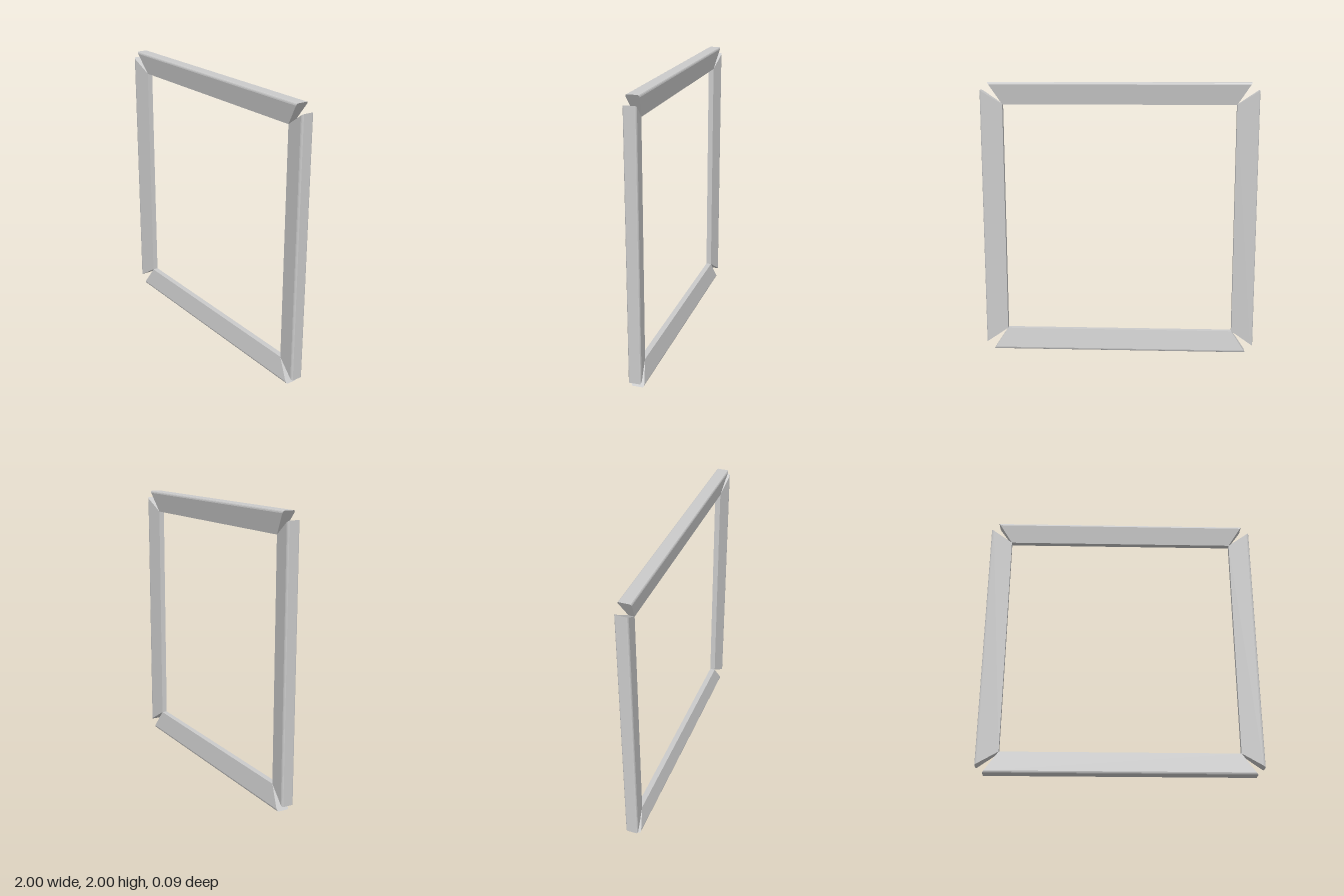
import * as THREE from 'three';

const INNER = 0.842;      // distance from frame centre to the inner edge
const OUTER = 1;          // distance from frame centre to the outer edge
const OUTER_HALF = 0.945; // half length of a rail along its outer edge

// One rail: a tapered bar, thick outside and thin inside, with slanted ends
function railGeometry() {
  const half = [[0.02, INNER], [0.045, 0.984], [0.0435, 0.992], [0.04, 0.998], [0.035, OUTER]];
  const points = [...half, ...half.map(([z, y]) => [-z, y]).reverse()];
  const shape = new THREE.Shape(points.map(([z, y]) => new THREE.Vector2(z, y)));
  const geometry = new THREE.ExtrudeGeometry(shape, { depth: 1, bevelEnabled: false });

  // Turn the profile along x and stretch it so the ends follow the cut
  const pos = geometry.attributes.position;
  for (let i = 0; i < pos.count; i++) {
    const z = pos.getX(i), y = pos.getY(i), t = pos.getZ(i);
    const k = (y - INNER) / (OUTER - INNER);
    pos.setXYZ(i, (t * 2 - 1) * THREE.MathUtils.lerp(INNER, OUTER_HALF, k), y, -z);
  }
  geometry.computeVertexNormals();
  return geometry;
}

export function createModel() {
  const group = new THREE.Group();
  group.name = 'frame';
  const material = new THREE.MeshStandardMaterial({ color: 0xcccccc, flatShading: true });
  const geometry = railGeometry();

  // Four equal rails around the opening
  ['topRail', 'rightRail', 'bottomRail', 'leftRail'].forEach((name, i) => {
    const rail = new THREE.Mesh(geometry, material);
    rail.name = name;
    rail.position.y = 1;
    rail.rotation.z = i * Math.PI / -2;
    group.add(rail);
  });
  group.getObjectByName('rightRail').name = 'leftSideRail';  // +x is the model's left
  group.getObjectByName('leftRail').name = 'rightSideRail';
  return group;
}
